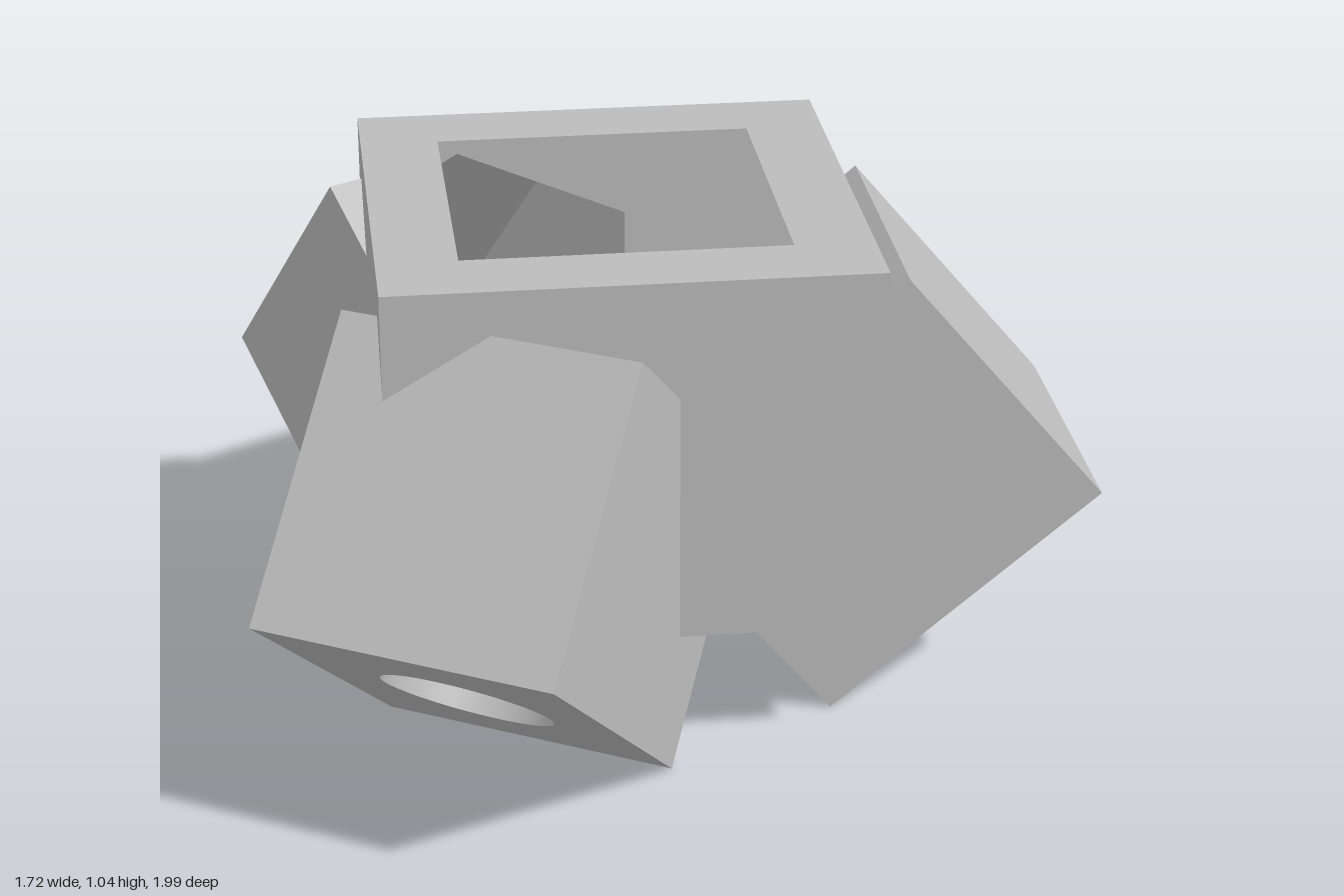
import * as THREE from 'three';

const CX = -0.105; // vertical axis shared by the collar and the three sockets
const V = (x, y, z) => new THREE.Vector3(x, y, z);

// A box is { min, max, matrix }; its faces are six outward quads in world space.
function boxFaces({ min, max, matrix }) {
  const faces = [];
  for (let a = 0; a < 3; a++) for (const side of [0, 1]) {
    const b = (a + 1) % 3, c = (a + 2) % 3;
    let quad = [[0, 0], [1, 0], [1, 1], [0, 1]].map(([i, j]) => {
      const p = V();
      p.setComponent(a, side ? max[a] : min[a]);
      p.setComponent(b, i ? max[b] : min[b]);
      p.setComponent(c, j ? max[c] : min[c]);
      return p.applyMatrix4(matrix);
    });
    if (!side) quad.reverse();
    faces.push({ axis: a, side, quad });
  }
  return faces;
}

// Split a convex polygon where f changes sign.
function split(poly, f) {
  const out = [], inn = [];
  poly.forEach((p, i) => {
    const q = poly[(i + 1) % poly.length], fp = f(p), fq = f(q);
    (fp > 0 ? out : inn).push(p);
    if ((fp > 0) !== (fq > 0)) {
      const m = p.clone().lerp(q, fp / (fp - fq));
      out.push(m);
      inn.push(m);
    }
  });
  return [out, inn];
}

// Keep only the pieces of a polygon that lie outside a box.
function cutAway(poly, { min, max, matrix }) {
  const inverse = matrix.clone().invert(), pieces = [];
  let rest = poly;
  for (let a = 0; a < 3 && rest.length > 2; a++) for (const side of [0, 1]) {
    const [out, inn] = split(rest, p => {
      const k = p.clone().applyMatrix4(inverse).getComponent(a);
      return side ? k - max[a] : min[a] - k;
    });
    if (out.length > 2) pieces.push(out);
    rest = inn;
    if (rest.length < 3) break;
  }
  return pieces;
}

function polygonsToGeometry(polys) {
  const points = [];
  for (const p of polys)
    for (let i = 1; i < p.length - 1; i++) points.push(p[0], p[i], p[i + 1]);
  const g = new THREE.BufferGeometry().setFromPoints(points);
  g.computeVertexNormals();
  return g;
}

// Flat rectangle with an opening cut in it.
function plate(x0, x1, y0, y1, hole) {
  const s = new THREE.Shape([[x0, y0], [x1, y0], [x1, y1], [x0, y1]].map(p => new THREE.Vector2(...p)));
  s.holes.push(hole);
  return new THREE.ShapeGeometry(s, 48);
}

const circlePath = (x, r) => new THREE.Path().absarc(x, 0, r, 0, Math.PI * 2, true);

function hexPath(x, r) {
  const pts = [];
  for (let i = 0; i < 6; i++) {
    const a = -(i + 0.5) * Math.PI / 3;
    pts.push(new THREE.Vector2(x + r * Math.cos(a), r * Math.sin(a)));
  }
  return new THREE.Path(pts);
}

export function createModel() {
  const model = new THREE.Group();
  const grey = new THREE.MeshStandardMaterial({ color: 0xbbbbbb, side: THREE.DoubleSide });
  grey.name = 'plainGrey';
  const add = (parent, name, geometry) => {
    const m = new THREE.Mesh(geometry, grey);
    m.name = name;
    parent.add(m);
    return m;
  };

  const collar = {
    min: [CX - 0.485, 0.28, -0.485], max: [CX + 0.485, 1.04, 0.485], matrix: new THREE.Matrix4(),
  };

  // Sockets: local x is across the slope, y sideways, z down along the socket
  const tilt = THREE.MathUtils.degToRad(50), c = Math.cos(tilt), s = Math.sin(tilt);
  const sockets = [0, 1, 2].map(i => ({
    min: [0.321, -0.315, -0.369], max: [1.038, 0.315, 0.269],
    matrix: new THREE.Matrix4().makeTranslation(CX, 0, 0)
      .multiply(new THREE.Matrix4().makeRotationY(i * Math.PI * 2 / 3))
      .multiply(new THREE.Matrix4().makeBasis(V(s, c, 0), V(0, 0, 1), V(c, -s, 0))),
  }));

  // Collar walls and floor, open where the sockets enter
  let walls = boxFaces(collar).filter(f => !(f.axis === 1 && f.side)).map(f => f.quad);
  for (const socket of sockets) walls = walls.flatMap(p => cutAway(p, socket));
  add(model, 'collarWalls', polygonsToGeometry(walls));

  // Collar rim with its square opening
  const opening = new THREE.Path([[-1, -1], [-1, 1], [1, 1], [1, -1]]
    .map(([x, y]) => new THREE.Vector2(x * 0.325, y * 0.325)));
  const rim = add(model, 'collarRim', plate(-0.485, 0.485, -0.485, 0.485, opening));
  rim.rotation.x = -Math.PI / 2;
  rim.position.set(CX, 1.04, 0);

  const mid = 0.68, bore = 0.175, step = 0.115, pinX = 0.71, pinR = 0.082, pinEnd = -0.325;
  sockets.forEach((socket, i) => {
    // Socket shell outside the collar; the lower end is a separate bored plate
    const shell = boxFaces(socket).filter(f => !(f.axis === 2 && f.side))
      .flatMap(f => cutAway(f.quad, collar));
    add(model, 'socketShell' + (i + 1), polygonsToGeometry(shell));

    const inner = new THREE.Group();
    inner.name = 'socketBore' + (i + 1);
    socket.matrix.decompose(inner.position, inner.quaternion, inner.scale);
    model.add(inner);

    const end = plate(socket.min[0], socket.max[0], -0.315, 0.315, circlePath(mid, bore));
    add(inner, 'endFace', end).position.z = socket.max[2];

    // Round bore, seen from inside
    const depth = socket.max[2] - step;
    const tube = new THREE.CylinderGeometry(bore, bore, depth, 48, 1, true).rotateX(Math.PI / 2);
    add(inner, 'boreWall', tube).position.set(mid, 0, step + depth / 2);

    // Bottom of the bore with the hexagonal passage
    const floor = new THREE.Shape().absarc(mid, 0, bore, 0, Math.PI * 2, false);
    floor.holes.push(hexPath(pinX, pinR));
    add(inner, 'boreFloor', new THREE.ShapeGeometry(floor, 48)).position.z = step;

    // Hexagonal sleeve reaching up into the collar
    const length = step - pinEnd;
    const sleeve = new THREE.CylinderGeometry(pinR, pinR, length, 6, 1, true).toNonIndexed();
    sleeve.computeVertexNormals();
    sleeve.rotateX(Math.PI / 2);
    add(inner, 'hexSleeve', sleeve).position.set(pinX, 0, pinEnd + length / 2);
    const cap = new THREE.CircleGeometry(pinR, 6, Math.PI / 6).rotateY(Math.PI);
    add(inner, 'hexCap', cap).position.set(pinX, 0, pinEnd);
  });

  return model;
}
